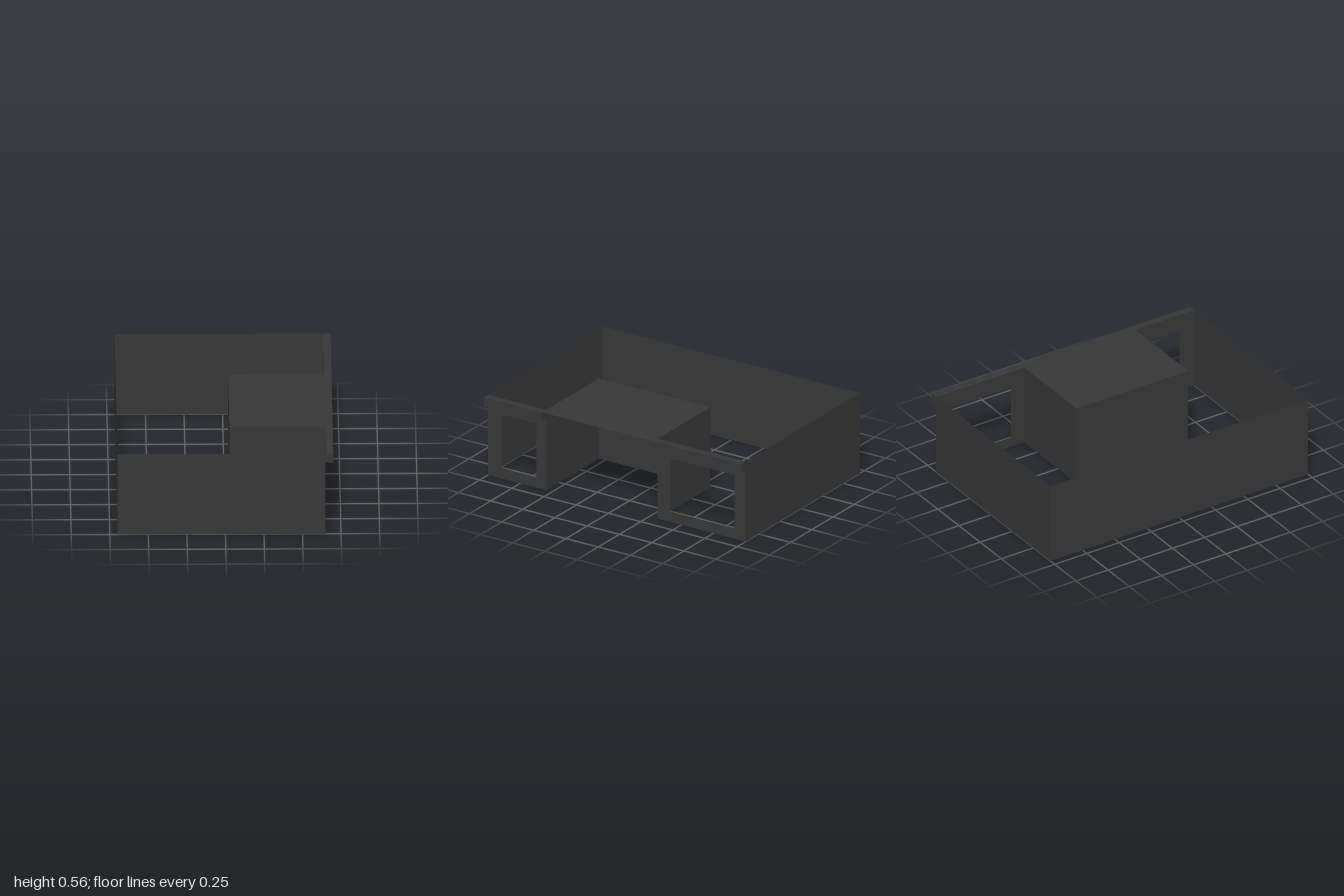
import * as THREE from 'three';

const H = 0.565;             // wall height
const BEAM_Y = 0.5;          // underside of the fascia beam
const X0 = -0.7, X1 = 0.65, X2 = 0.7; // back wall, facade plane, fascia front
const RX = 0.03, RZ0 = -0.317, RZ1 = 0.548; // recess extents

export function createModel() {
  const group = new THREE.Group();
  const charcoal = new THREE.MeshStandardMaterial({ color: 0x383838, side: THREE.DoubleSide });
  charcoal.name = 'charcoal';

  const add = (name, geometry, x = 0, y = 0, z = 0) => {
    const mesh = new THREE.Mesh(geometry, charcoal);
    mesh.name = name;
    mesh.position.set(x, y, z);
    group.add(mesh);
  };

  // Thin wall facing z, stepping out under the roof line to meet the fascia
  const sideWall = (name, xStart, z) => {
    const s = new THREE.Shape([
      [xStart, 0], [X1, 0], [X1, BEAM_Y], [X2, BEAM_Y], [X2, H], [xStart, H],
    ].map(([x, y]) => new THREE.Vector2(x, y)));
    add(name, new THREE.ShapeGeometry(s), 0, 0, z);
  };

  // Thin wall facing x, between two z positions
  const crossWall = (name, x, z0, z1) =>
    add(name, new THREE.PlaneGeometry(z1 - z0, H).rotateY(Math.PI / 2), x, H / 2, (z0 + z1) / 2);

  // Outer shell
  sideWall('frontWall', X0, 1);
  sideWall('rearWall', X0, -1);
  crossWall('longWall', X0, -1, 1);

  // Open recess with a flat roof
  sideWall('recessFrontWall', RX, RZ1);
  sideWall('recessRearWall', RX, RZ0);
  crossWall('recessInnerWall', RX, RZ0, RZ1);
  add('recessRoof', new THREE.PlaneGeometry(X2 - RX, RZ1 - RZ0).rotateX(-Math.PI / 2),
    (RX + X2) / 2, H, (RZ0 + RZ1) / 2);

  // Facade panels with a window opening, each topped by a fascia beam
  const facades = [
    { side: 'front', z0: RZ1, z1: 1, w0: 0.625, w1: 0.89 },
    { side: 'rear', z0: -1, z1: RZ0, w0: -0.915, w1: -0.417 },
  ];
  const rect = (Type, a, b, y0, y1) => new Type([[a, y0], [b, y0], [b, y1], [a, y1]]
    .map(([z, y]) => new THREE.Vector2(-z, y)));
  for (const { side, z0, z1, w0, w1 } of facades) {
    const panel = rect(THREE.Shape, z0, z1, 0, H);
    panel.holes.push(rect(THREE.Path, w0, w1, 0.07, 0.45));
    add(side + 'Facade', new THREE.ShapeGeometry(panel).rotateY(Math.PI / 2), X1);
    const length = z1 - z0, mid = (z0 + z1) / 2, cx = (X1 + X2) / 2;
    add(side + 'FasciaFace', new THREE.PlaneGeometry(length, H - BEAM_Y).rotateY(Math.PI / 2),
      X2, (H + BEAM_Y) / 2, mid);
    add(side + 'FasciaTop', new THREE.PlaneGeometry(X2 - X1, length).rotateX(-Math.PI / 2), cx, H, mid);
    add(side + 'FasciaSoffit', new THREE.PlaneGeometry(X2 - X1, length).rotateX(Math.PI / 2), cx, BEAM_Y, mid);
  }

  return group;
}
